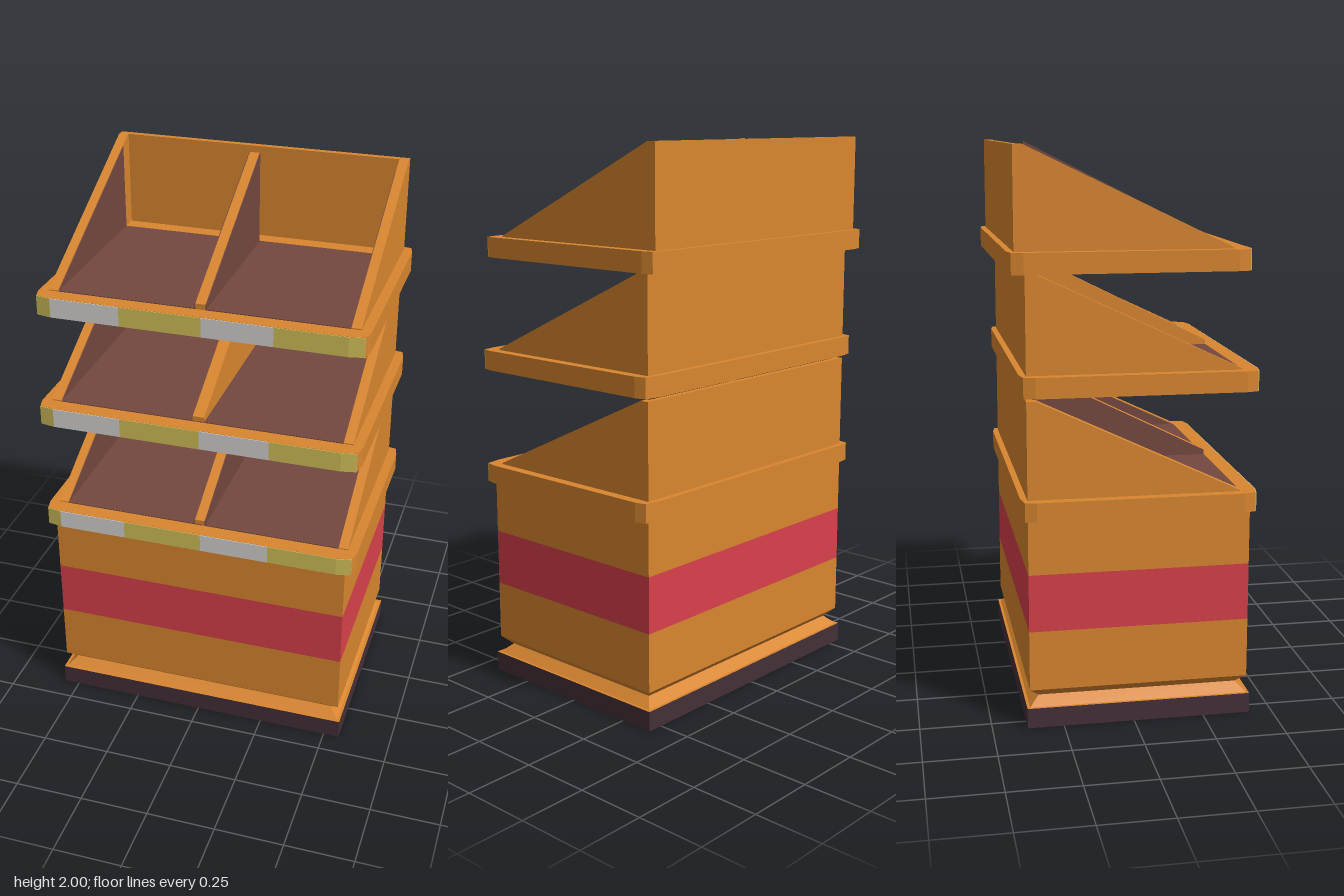
import * as THREE from 'three';

const mat = (name, color, extra = {}) => {
  const m = new THREE.MeshStandardMaterial({ color, ...extra });
  m.name = name;
  return m;
};

export function createModel() {
  const orange = mat('orange board', 0xd9862f);
  const brown = mat('brown lining', 0x74483f);
  const red = mat('red band', 0xd8404b);
  const plum = mat('dark plum', 0x452f38);
  const silver = mat('silver label', 0xd6d2d2);
  const yellow = mat('yellow label', 0xd2c05a);

  const model = new THREE.Group();
  model.name = 'displayStand';

  const add = (parent, name, geometry, material) => {
    const mesh = new THREE.Mesh(geometry, material);
    mesh.name = name;
    parent.add(mesh);
    return mesh;
  };
  // box given by its minimum and maximum on each axis
  const box = (parent, name, x0, x1, y0, y1, z0, z1, material) => {
    const g = new THREE.BoxGeometry(x1 - x0, y1 - y0, z1 - z0);
    g.translate((x0 + x1) / 2, (y0 + y1) / 2, (z0 + z1) / 2);
    return add(parent, name, g, material);
  };
  const shapeOf = (pts) => new THREE.Shape(pts.map(([a, b]) => new THREE.Vector2(a, b)));
  // side profile of [z, y] points, spanning x0 to x1
  const profile = (parent, name, pts, x0, x1, material) => {
    const g = new THREE.ExtrudeGeometry(shapeOf(pts), { depth: x1 - x0, bevelEnabled: false });
    g.rotateY(-Math.PI / 2).translate(x1, 0, 0);
    return add(parent, name, g, material);
  };
  // plan outline of [x, z] points, spanning y0 to y1
  const slab = (parent, name, pts, y0, y1, material) => {
    const g = new THREE.ExtrudeGeometry(shapeOf(pts.map(([x, z]) => [x, -z])), { depth: y1 - y0, bevelEnabled: false });
    g.rotateX(-Math.PI / 2).translate(0, y0, 0);
    return add(parent, name, g, material);
  };
  // four-sided ring between two rectangles, used for the waisted foot
  const frustum = (parent, name, y0, y1, in0, in1, material) => {
    const g = new THREE.BoxGeometry(1, y1 - y0, 1);
    const p = g.attributes.position;
    for (let i = 0; i < p.count; i++) {
      const inset = p.getY(i) < 0 ? in0 : in1;
      p.setX(i, Math.sign(p.getX(i)) * (0.548 - inset));
      p.setZ(i, Math.sign(p.getZ(i)) * (0.388 - inset));
    }
    g.translate(0, (y0 + y1) / 2, 0.02);
    g.computeVertexNormals();
    return add(parent, name, g, material);
  };

  // base: plinth, waist and cabinet with a red band
  const base = new THREE.Group();
  base.name = 'base';
  model.add(base);
  box(base, 'plinth', -0.558, 0.558, 0, 0.072, -0.378, 0.418, [plum, plum, orange, orange, plum, plum]);
  frustum(base, 'lowerWaist', 0.072, 0.104, 0, 0.034, orange);
  frustum(base, 'upperWaist', 0.104, 0.136, 0.034, 0, orange);
  box(base, 'lowerCabinet', -0.548, 0.548, 0.136, 0.35, -0.368, 0.408, orange);
  box(base, 'redBand', -0.548, 0.548, 0.35, 0.555, -0.368, 0.408, red);
  box(base, 'upperCabinet', -0.548, 0.548, 0.555, 0.752, -0.368, 0.408, orange);

  // one tray: y0 to y1 is the rim, top is the wall height, f is the front z
  const tray = (name, y0, y1, top, f, dividerMaterial) => {
    const t = new THREE.Group();
    t.name = name;
    model.add(t);
    const H = top - y1;
    const back = f - 0.82;

    // rim with softly cut corners
    const half = [[0.52, f], [0.573, f - 0.01], [0.583, f - 0.05],
      [0.583, back + 0.05], [0.573, back + 0.01], [0.52, back]];
    const outline = [...half, ...half.map(([x, z]) => [-x, z]).reverse()];
    slab(t, 'rim', outline, y0, y1, orange);

    // alternating price labels along the front of the rim
    const frontZ = (x) => f - Math.max(0, Math.abs(x) - 0.52) * 0.01 / 0.053;
    const stops = [-0.573, -0.52, -0.27, 0.02, 0.27, 0.573];
    for (let i = 0; i < 5; i++) {
      const xs = [stops[i], stops[i + 1]];
      if (i === 4) xs.splice(1, 0, 0.52);
      const pts = [...xs.map((x) => [x, frontZ(x) + 0.003]),
        ...xs.slice().reverse().map((x) => [x, frontZ(x) - 0.002])];
      slab(t, 'label', pts, y0 + 0.001, y1 - 0.001, i % 2 ? silver : yellow);
    }

    // back wall, sloping sides and their brown lining
    box(t, 'backWall', -0.548, 0.548, y1, top, f - 0.798, f - 0.775, orange);
    const side = [[f - 0.06, y1], [f - 0.06, y1 + 0.004], [f - 0.765, top], [f - 0.775, top], [f - 0.775, y1]];
    const lining = [[f - 0.06, y1], [f - 0.71, y1 + H * 0.65 / 0.71], [f - 0.71, y1]];
    for (const s of [-1, 1]) {
      const [a, b] = [s * 0.514, s * 0.548].sort((p, q) => p - q);
      profile(t, 'sideWall', side, a, b, orange);
      const [c, d] = [s * 0.511, s * 0.514].sort((p, q) => p - q);
      profile(t, 'sideLining', lining, c, d, brown);
    }
    box(t, 'floorLining', -0.511, 0.511, y1, y1 + 0.003, f - 0.71, f - 0.06, brown);

    // centre divider, stopping short of the back wall
    const rib = [[f - 0.06, y1], [f - 0.06, y1 + 0.02], [f - 0.7, top], [f - 0.7, y1]];
    profile(t, 'divider', rib, -0.018, 0.018, orange);
    profile(t, 'dividerRightFace', rib, -0.021, -0.018, dividerMaterial);
    profile(t, 'dividerLeftFace', rib, 0.018, 0.021, dividerMaterial);
  };

  tray('lowerTray', 0.752, 0.82, 1.16, 0.43, brown);
  tray('middleTray', 1.175, 1.247, 1.585, 0.43, orange);
  tray('upperTray', 1.585, 1.657, 2.0, 0.395, brown);
  return model;
}
